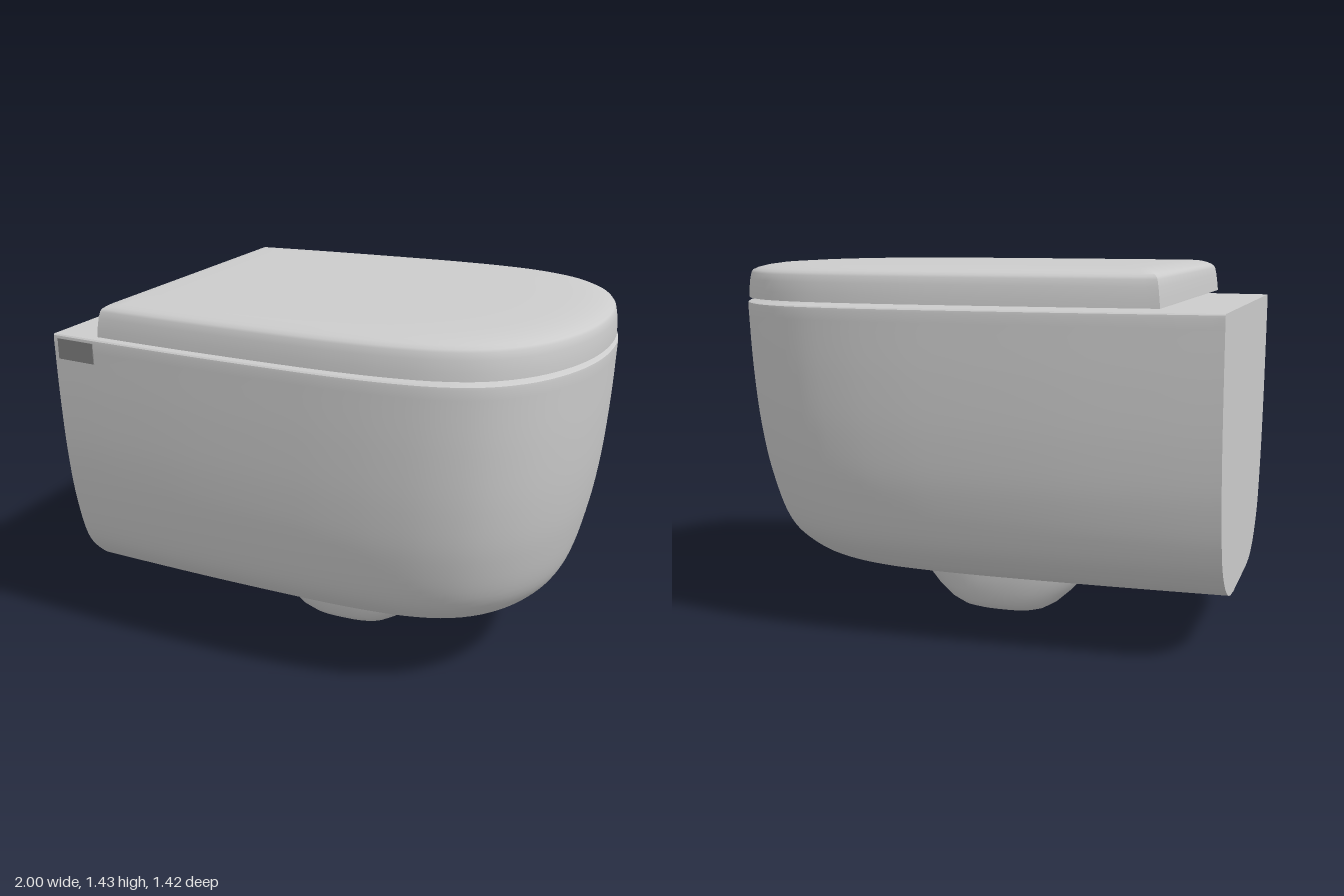
import * as THREE from 'three';
import { toCreasedNormals } from 'three/addons/utils/BufferGeometryUtils.js';

const V = (x, y, z) => new THREE.Vector3(x, y, z);

// Skin closed rings (counterclockwise from above, listed bottom to top) and cap both ends
function loft(name, rings, crease = 0.6) {
  const n = rings[0].length;
  const pos = rings.flat().flatMap((p) => [p.x, p.y, p.z]);
  const index = [];
  for (let i = 0; i < rings.length - 1; i++) {
    for (let j = 0; j < n; j++) {
      const k = (j + 1) % n;
      const a = i * n + j, b = i * n + k, c = a + n, d = b + n;
      index.push(a, b, d, a, d, c);
    }
  }
  [0, rings.length - 1].forEach((r, e) => {
    const mid = rings[r].reduce((s, p) => s.add(p), V(0, 0, 0)).divideScalar(n);
    const m = pos.length / 3;
    pos.push(mid.x, mid.y, mid.z);
    for (let j = 0; j < n; j++) {
      const a = r * n + j, b = r * n + ((j + 1) % n);
      index.push(m, ...(e ? [a, b] : [b, a]));
    }
  });
  const geo = new THREE.BufferGeometry();
  geo.setAttribute('position', new THREE.Float32BufferAttribute(pos, 3));
  geo.setIndex(index);
  const mesh = new THREE.Mesh(toCreasedNormals(geo, crease),
    new THREE.MeshStandardMaterial({ color: 0xcccccc }));
  mesh.name = name;
  return mesh;
}

// D-shaped plan: straight back, bulging sides, round front; mirrored in z
function planOutline(backPoints) {
  const half = [...backPoints, [-0.4, 0.685], [0, 0.704], [0.2, 0.708], [0.4, 0.7],
    [0.58, 0.672], [0.73, 0.61], [0.85, 0.5], [0.935, 0.35], [0.985, 0.18]];
  const pts = [...half, [1, 0], ...half.slice().reverse().map(([x, z]) => [x, -z])];
  return new THREE.CatmullRomCurve3(pts.map(([x, z]) => V(x, 0, z)), false, 'centripetal')
    .getSpacedPoints(96);
}

// Fit an outline between a back and front x, with a width scale, at height y
function fit(outline, y, back, front, width) {
  const x0 = outline[0].x;
  return outline.map((p) => V(back + ((p.x - x0) / (1 - x0)) * (front - back), y, p.z * width));
}

export function createModel() {
  const model = new THREE.Group();
  model.name = 'wallHungToilet';

  // Bowl: [front x, height, width scale], flat against the wall at x = -1
  const bowlProfile = new THREE.CatmullRomCurve3([
    [0.52, 0.21, 0.3], [0.62, 0.222, 0.46], [0.71, 0.25, 0.58], [0.79, 0.3, 0.695],
    [0.87, 0.4, 0.825], [0.93, 0.6, 0.918], [0.965, 0.8, 0.963], [0.987, 1.03, 0.988],
    [0.999, 1.27, 1],
  ].map((p) => V(...p)), false, 'centripetal').getSpacedPoints(44);
  bowlProfile.push(V(0.998, 1.28, 0.998), V(0.99, 1.285, 0.99));
  const bowlPlan = planOutline([[-1, 0.635], [-0.75, 0.658]]);
  model.add(loft('bowl', bowlProfile.map((p) => fit(bowlPlan, p.y, -1, p.x, p.z))));

  // Lid: [height, back x, front x, width scale], leaving a thin gap above the bowl
  const lidPlan = planOutline([[-0.785, 0.655], [-0.6, 0.671]]);
  const lidRings = [
    [1.299, -0.785, 0.992, 0.997], [1.33, -0.782, 0.992, 0.995], [1.37, -0.777, 0.988, 0.988],
    [1.395, -0.772, 0.983, 0.98], [1.404, -0.768, 0.977, 0.973], [1.413, -0.757, 0.957, 0.95],
    [1.421, -0.742, 0.925, 0.915], [1.428, -0.72, 0.875, 0.86], [1.432, -0.69, 0.8, 0.78],
    [1.434, -0.6, 0.65, 0.62],
  ].map(([y, b, f, w]) => fit(lidPlan, y, b, f, w));
  model.add(loft('lid', lidRings));

  // Drain bulge below the bowl: [x min, height, x max, half depth]
  const drainRings = [
    [-0.12, 0, 0.06, 0.03], [-0.17, 0.004, 0.1, 0.07], [-0.215, 0.02, 0.145, 0.108],
    [-0.265, 0.05, 0.195, 0.135], [-0.32, 0.1, 0.25, 0.15], [-0.365, 0.15, 0.292, 0.157],
    [-0.4, 0.21, 0.33, 0.162], [-0.4, 0.24, 0.33, 0.162],
  ].map(([x0, y, x1, d]) => Array.from({ length: 56 }, (_, i) => {
    const t = (i / 56) * Math.PI * 2;
    const soft = (v) => Math.sign(v) * Math.abs(v) ** 0.75;
    return V((x0 + x1) / 2 + soft(Math.cos(t)) * (x1 - x0) / 2, y, -soft(Math.sin(t)) * d);
  }));
  model.add(loft('drainBulge', drainRings, 0.9));

  // Plain plate on one side near the wall
  const plate = new THREE.Mesh(new THREE.BoxGeometry(0.17, 0.08, 0.01),
    new THREE.MeshStandardMaterial({ color: 0x808080 }));
  plate.name = 'sidePlate';
  plate.position.set(-0.895, 1.23, 0.642);
  plate.rotation.y = -0.1;
  model.add(plate);

  return model;
}
